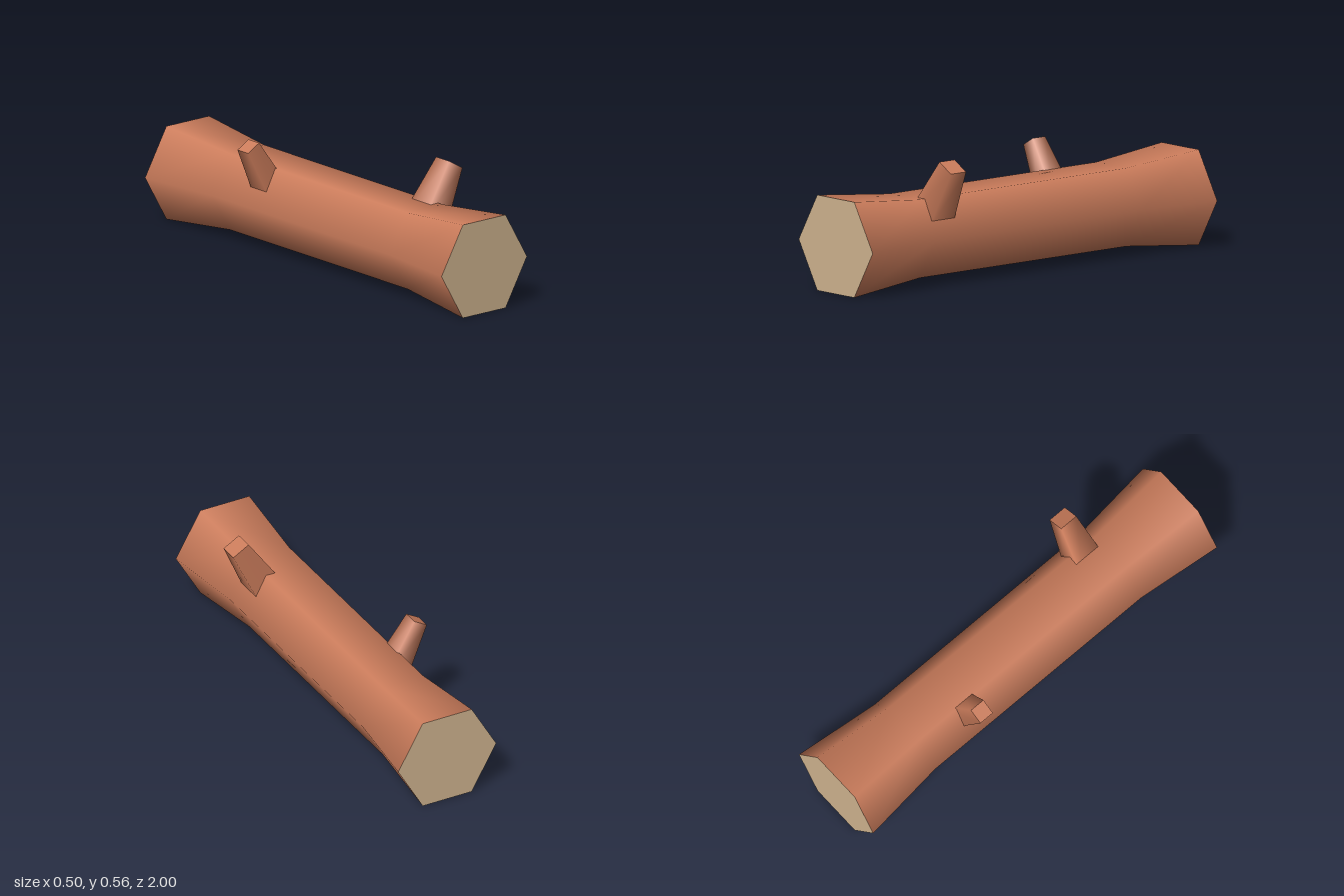
import * as THREE from 'three';

const CENTRE_X = -0.005, CENTRE_Y = 0.2115;
const END_RADIUS = 0.244, MID_RADIUS = 0.2;

export function createModel() {
  const bark = new THREE.MeshStandardMaterial({ color: 0xcb7c5b });
  bark.name = 'bark';
  const cutWood = new THREE.MeshStandardMaterial({ color: 0xd0b48f });
  cutWood.name = 'cutWood';

  const log = new THREE.Group();
  log.name = 'log';

  function add(name, geometry, material, x, y, z) {
    const mesh = new THREE.Mesh(geometry, material);
    mesh.name = name;
    mesh.position.set(x, y, z);
    log.add(mesh);
    return mesh;
  }

  // Six-sided trunk, flared at both ends, lying along z
  const profile = [
    [END_RADIUS, -1], [MID_RADIUS, -0.6], [MID_RADIUS, 0.6], [END_RADIUS, 1],
  ].map(([r, y]) => new THREE.Vector2(r, y));
  const trunk = new THREE.LatheGeometry(profile, 6);
  trunk.rotateY(Math.PI / 6).rotateX(Math.PI / 2);
  add('trunk', trunk, bark, CENTRE_X, CENTRE_Y, 0);

  // Sawn end faces
  const cut = new THREE.CircleGeometry(END_RADIUS, 6);
  add('frontCut', cut, cutWood, CENTRE_X, CENTRE_Y, 1);
  add('backCut', cut, cutWood, CENTRE_X, CENTRE_Y, -1).rotation.y = Math.PI;

  // Square tapered branch stub, placed by the centre of its tip
  function addBranch(name, tip, tipHalf, baseHalf, tilt) {
    const length = 0.3;
    const stub = new THREE.CylinderGeometry(
      tipHalf * Math.SQRT2, baseHalf * Math.SQRT2, length, 4);
    stub.rotateY(Math.PI / 4).translate(0, -length / 2, 0);
    add(name, stub, bark, ...tip).rotation.z = -tilt;
  }
  addBranch('leftBranch', [0.21, 0.534, 0.51], 0.044, 0.072, Math.PI / 6);
  addBranch('rightBranch', [-0.218, 0.496, -0.34], 0.036, 0.06, -Math.PI / 6);

  return log;
}
